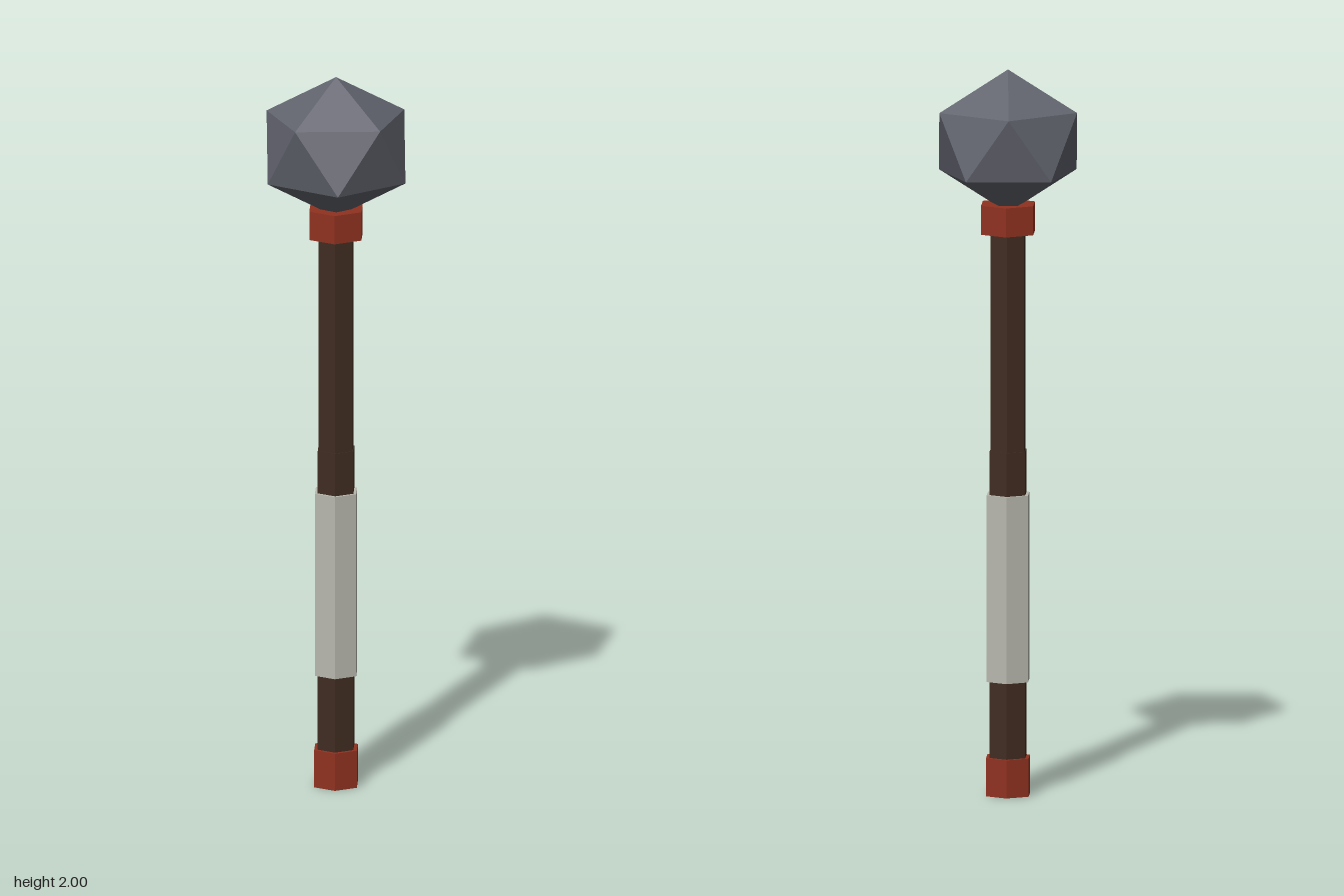
import * as THREE from 'three';

const material = (name, color) => {
  const m = new THREE.MeshStandardMaterial({ color });
  m.name = name;
  return m;
};

// Gives every face its own normal
const faceted = (geometry) => {
  const g = geometry.index ? geometry.toNonIndexed() : geometry;
  g.computeVertexNormals();
  return g;
};

// Six-sided bar between two heights, all turned to the same angle
function hexBar(name, radius, bottom, top, mat) {
  const turn = THREE.MathUtils.degToRad(50);
  const g = new THREE.CylinderGeometry(radius, radius, top - bottom, 6, 1, false, turn);
  g.translate(0, (bottom + top) / 2, 0);
  const mesh = new THREE.Mesh(faceted(g), mat);
  mesh.name = name;
  return mesh;
}

// Twenty-sided stone: two staggered rings of five between two points
function stoneGeometry(radius, bottom, lower, upper, top) {
  const ring = (i, y, shift) => {
    const a = ((i + shift) * Math.PI * 2) / 5;
    return new THREE.Vector3(Math.cos(a) * radius, y, Math.sin(a) * radius);
  };
  const tip = new THREE.Vector3(0, top, 0);
  const base = new THREE.Vector3(0, bottom, 0);
  const points = [];
  for (let i = 0; i < 5; i++) {
    const u0 = ring(i, upper, 0), u1 = ring(i + 1, upper, 0);
    const l0 = ring(i, lower, 0.5), l1 = ring(i + 1, lower, 0.5);
    points.push(tip, u1, u0, u0, u1, l0, l0, u1, l1, base, l0, l1);
  }
  return faceted(new THREE.BufferGeometry().setFromPoints(points));
}

export function createModel() {
  const stone = material('grey stone', 0x62646e);
  const wood = material('dark wood', 0x402c21);
  const red = material('rust red', 0x903220);
  const wrap = material('pale wrap', 0xbab9af);

  const model = new THREE.Group();
  model.name = 'mace';

  // Handle, from the foot upwards
  model.add(
    hexBar('pommel', 0.067, 0, 0.105, red),
    hexBar('lowerShaft', 0.056, 0.1, 0.95, wood),
    hexBar('grip', 0.065, 0.315, 0.83, wrap),
    hexBar('upperShaft', 0.053, 0.95, 1.56, wood),
    hexBar('collar', 0.082, 1.55, 1.63, red),
  );

  // Striking head
  const head = new THREE.Mesh(stoneGeometry(0.197, 1.605, 1.715, 1.89, 2), stone);
  head.name = 'head';
  model.add(head);

  return model;
}
